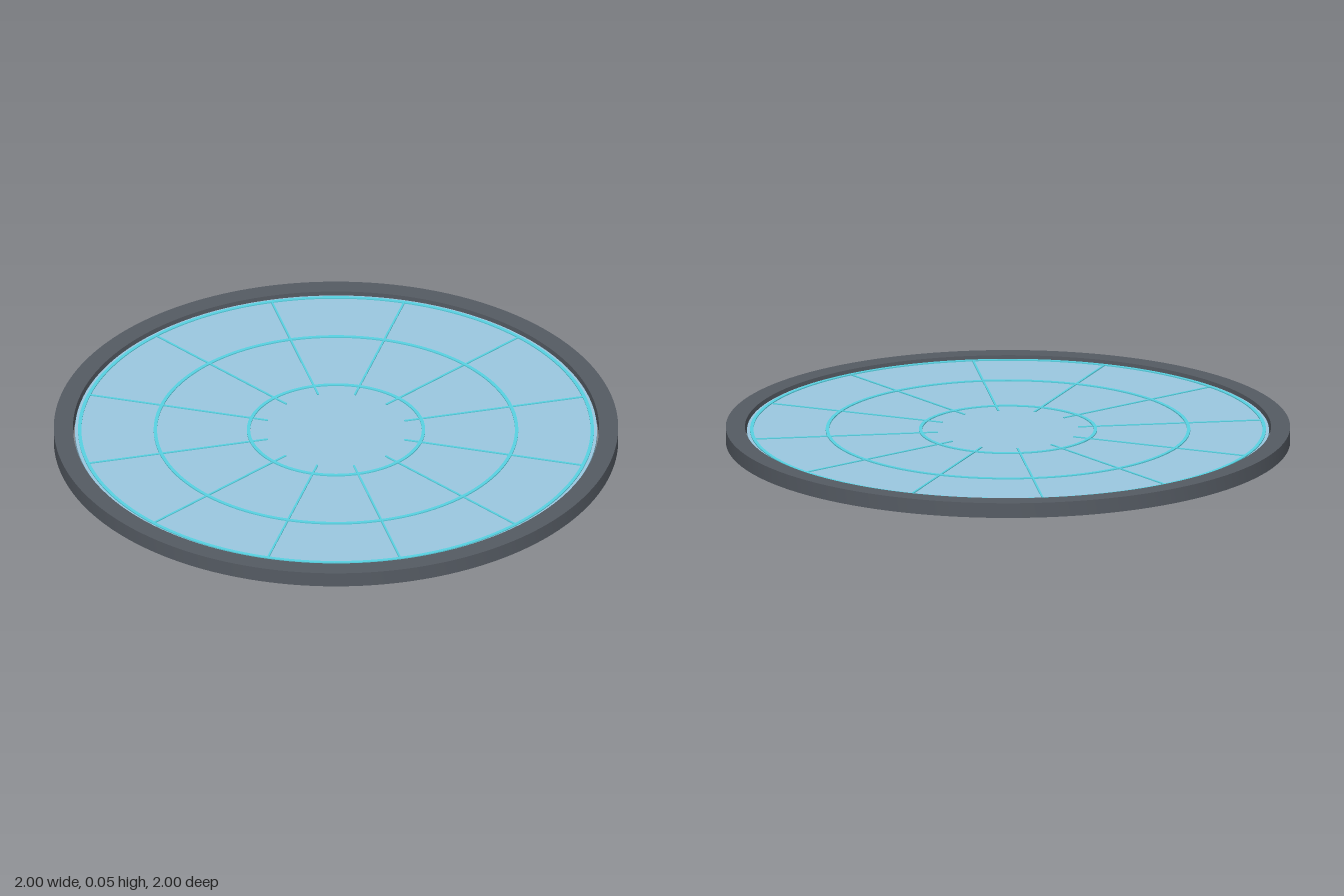
import * as THREE from 'three';
import { toCreasedNormals } from 'three/addons/utils/BufferGeometryUtils.js';

const SPOKES = 12;

export function createModel() {
  const model = new THREE.Group();
  const metal = new THREE.MeshStandardMaterial({ color: 0x555b63 });
  const darkMetal = new THREE.MeshStandardMaterial({ color: 0x43474d });
  const glass = new THREE.MeshStandardMaterial({ color: 0x9ac8e0 });
  const cyan = new THREE.MeshStandardMaterial({ color: 0x58d2e2 });

  function add(name, geometry, material, parent = model) {
    const mesh = new THREE.Mesh(geometry, material);
    mesh.name = name;
    parent.add(mesh);
    return mesh;
  }

  // Flat ring of rectangular section between heights y0 and y1
  function ring(name, inner, outer, y0, y1, material) {
    const shape = new THREE.Shape().absarc(0, 0, outer, 0, Math.PI * 2, false);
    shape.holes.push(new THREE.Path().absarc(0, 0, inner, 0, Math.PI * 2, true));
    const geometry = new THREE.ExtrudeGeometry(shape, { depth: y1 - y0, bevelEnabled: false, curveSegments: 96 });
    geometry.rotateX(-Math.PI / 2).translate(0, y0, 0);
    return add(name, toCreasedNormals(geometry, 0.6), material);
  }

  // Radial bars repeated around the centre
  function spokes(name, r0, r1, y0, y1, width, material) {
    const group = new THREE.Group();
    group.name = name + 's';
    const geometry = new THREE.BoxGeometry(r1 - r0, y1 - y0, width);
    geometry.translate((r0 + r1) / 2, (y0 + y1) / 2, 0);
    for (let i = 0; i < SPOKES; i++) {
      add(name, geometry, material, group).rotation.y = (i / SPOKES) * Math.PI * 2;
    }
    model.add(group);
  }

  // Outer frame and glass panel
  ring('outerFrame', 0.932, 1, 0, 0.054, metal);
  const panel = new THREE.CylinderGeometry(0.925, 0.925, 0.02, 128).translate(0, 0.032, 0);
  add('glassPanel', panel, glass);

  // Raised lines on top of the glass
  [0.31, 0.64, 0.908].forEach((r) => ring('inlayRing', r - 0.006, r + 0.006, 0.04, 0.046, cyan));
  spokes('inlayLine', 0.25, 0.91, 0.04, 0.0455, 0.007, cyan);

  // Support structure underneath
  ring('hubRing', 0.152, 0.214, 0.003, 0.023, darkMetal);
  ring('supportRing', 0.538, 0.556, 0.011, 0.023, darkMetal);
  spokes('supportSpoke', 0.2, 0.9, 0.006, 0.023, 0.025, darkMetal);

  return model;
}
